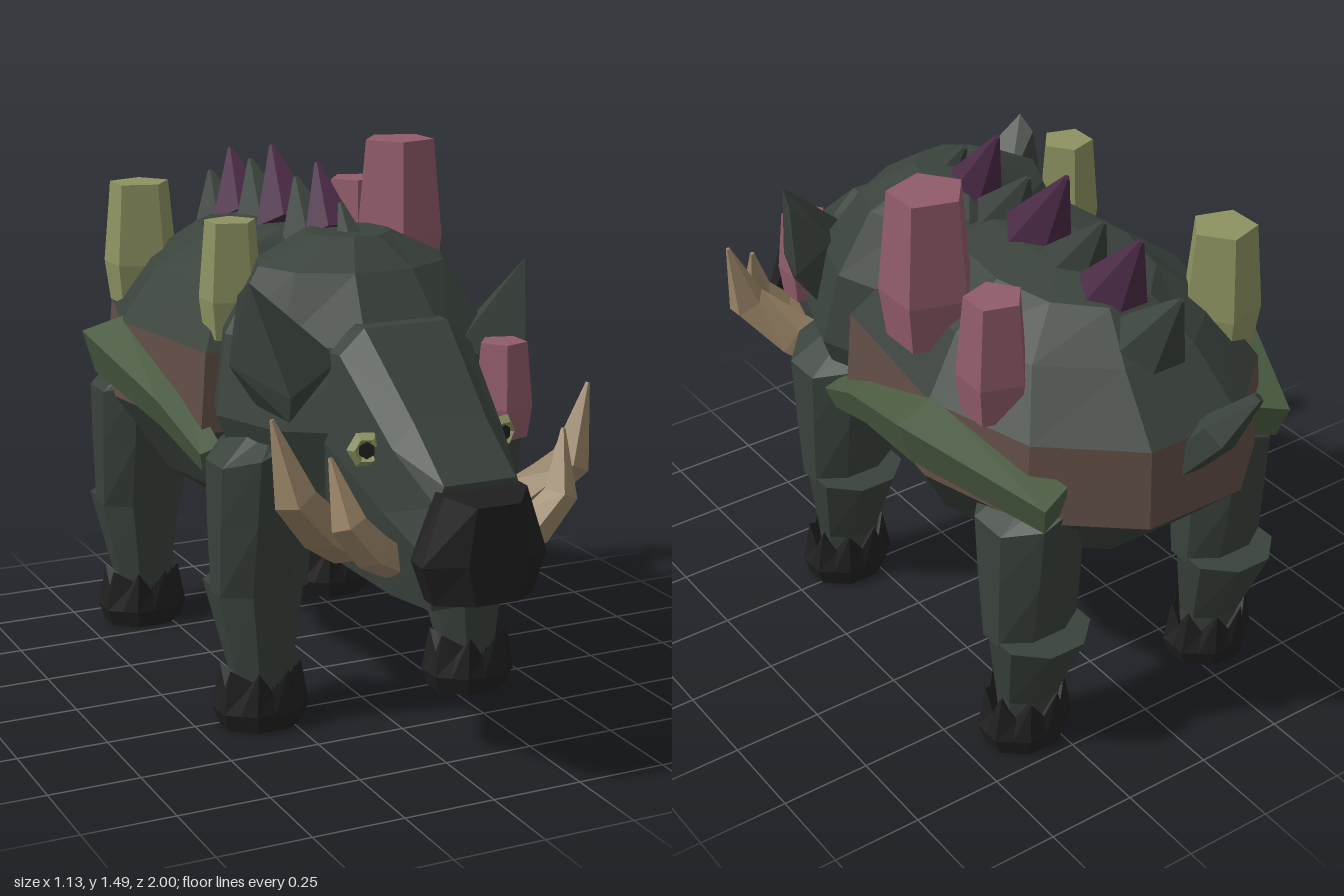
import * as THREE from 'three';
import { ConvexGeometry } from 'three/addons/geometries/ConvexGeometry.js';

const V = (x, y, z) => new THREE.Vector3(x, y, z);

// Skin a list of equal-length rings, cap both ends, and make faces point outward
function loft(rings) {
  const tris = [], n = rings[0].length;
  for (let r = 0; r < rings.length - 1; r++) {
    for (let i = 0; i < n; i++) {
      const j = (i + 1) % n, a = rings[r], b = rings[r + 1];
      tris.push([a[i], b[i], b[j]], [a[i], b[j], a[j]]);
    }
  }
  const a = rings[0], b = rings[rings.length - 1];
  for (let i = 1; i < n - 1; i++) tris.push([a[0], a[i], a[i + 1]], [b[0], b[i + 1], b[i]]);
  let volume = 0;
  for (const [p, q, s] of tris) volume += p.dot(q.clone().cross(s));
  const pos = [];
  for (const [p, q, s] of tris) for (const v of volume < 0 ? [p, s, q] : [p, q, s]) pos.push(v.x, v.y, v.z);
  const g = new THREE.BufferGeometry();
  g.setAttribute('position', new THREE.Float32BufferAttribute(pos, 3));
  g.computeVertexNormals();
  return g;
}

// Horizontal elliptical ring
function ring(y, rx, zc, rz, n = 10, cx = 0, off = 0.5) {
  return Array.from({ length: n }, (_, i) => {
    const a = ((i + off) / n) * Math.PI * 2;
    return V(cx + Math.sin(a) * rx, y, zc + Math.cos(a) * rz);
  });
}

// Body ring with squared front corners
function barrelRing(y, rx, zc, rz) {
  const r = ring(y, rx, zc, rz);
  for (const i of [1, 8]) {
    r[i].x *= 1.06;
    r[i].z = zc + rz * 0.89;
  }
  return r;
}

// Octagon with a midpoint on every side, corners raised by peak
function hoofRing(y, rx, zc, rz, cx, peak = 0) {
  const r = ring(y, rx, zc, rz, 16, cx, 0), center = V(cx, y, zc);
  r.forEach((v, i) => {
    if (i % 2) v.y += peak;
    else v.lerp(center, 0.076);
  });
  return r;
}

// Tapered faceted limb along a path, ref fixes its roll
function limb(path, radii, n, ref) {
  return loft(path.map((p, k) => {
    const t = path[Math.min(k + 1, path.length - 1)].clone().sub(path[Math.max(k - 1, 0)]).normalize();
    const u = t.clone().cross(ref).normalize(), v = t.clone().cross(u);
    return Array.from({ length: n }, (_, i) => {
      const a = ((i + 0.5) / n) * Math.PI * 2;
      return p.clone().addScaledVector(u, Math.cos(a) * radii[k]).addScaledVector(v, Math.sin(a) * radii[k]);
    });
  }));
}

// Head section facing z: [y, half width] pairs from the top down, mirrored
const headRing = ([z, ...pairs]) =>
  [...pairs.map(([y, w]) => V(w, y, z)), ...pairs.map(([y, w]) => V(-w, y, z)).reverse()];

export function createModel() {
  const root = new THREE.Group();
  root.name = 'hornedBoar';
  const mat = (name, color) => {
    const m = new THREE.MeshStandardMaterial({ color });
    m.name = name;
    m.flatShading = true;
    return m;
  };
  const hide = mat('hide', 0x3a423c), black = mat('black', 0x202020), brown = mat('brownBand', 0x614e46);
  const green = mat('vineGreen', 0x4b5c42), pink = mat('pinkCrystal', 0x915c69), olive = mat('oliveCrystal', 0x8d9261);
  const purple = mat('purpleSpine', 0x4b2b46), ivory = mat('ivory', 0x9d8769);
  const add = (name, geo, m) => {
    const mesh = new THREE.Mesh(geo, m);
    mesh.name = name;
    root.add(mesh);
  };

  // Body: belly, painted band and back share their border rings
  const b = [[0.465, 0.2, -0.26, 0.28], [0.57, 0.35, -0.3, 0.43], [0.77, 0.475, -0.39, 0.545],
    [0.99, 0.455, -0.385, 0.535], [1.14, 0.355, -0.36, 0.4], [1.24, 0.21, -0.335, 0.295], [1.27, 0.08, -0.28, 0.18]]
    .map(s => barrelRing(...s));
  add('belly', loft(b.slice(0, 3)), hide);
  add('flankBand', loft(b.slice(2, 4)), brown);
  add('back', loft(b.slice(3)), hide);

  // Shoulder hump
  add('shoulders', loft([[0.49, 0.18, 0.2, 0.18], [0.62, 0.32, 0.22, 0.33], [0.85, 0.41, 0.21, 0.37],
    [1.06, 0.37, 0.18, 0.34], [1.23, 0.27, 0.17, 0.21], [1.305, 0.115, 0.15, 0.12]].map(s => ring(...s))), hide);

  // Head and snout
  add('head', loft([
    [0.35, [1.12, 0.12], [1.05, 0.21], [0.8, 0.26], [0.54, 0.2]],
    [0.5, [1.115, 0.12], [1.05, 0.19], [0.82, 0.225], [0.5, 0.19]],
    [0.74, [0.92, 0.1], [0.86, 0.16], [0.7, 0.185], [0.48, 0.16]],
    [0.9, [0.8, 0.1], [0.75, 0.12], [0.63, 0.155], [0.485, 0.13]]].map(headRing)), hide);
  add('snout', loft([
    [0.88, [0.785, 0.115], [0.62, 0.18], [0.51, 0.14]],
    [0.93, [0.785, 0.115], [0.61, 0.175], [0.51, 0.14]],
    [0.995, [0.765, 0.06], [0.62, 0.08], [0.515, 0.06]]].map(headRing)), black);

  for (const s of [1, -1]) {
    const side = s > 0 ? 'left' : 'right';
    const P = (x, y, z) => V(s * x, y, z);

    // Ears
    add(side + 'Ear', new ConvexGeometry([P(0.17, 1.03, 0.46), P(0.33, 0.89, 0.5), P(0.35, 0.9, 0.33),
      P(0.42, 1.01, 0.32), P(0.3, 1.08, 0.32), P(0.34, 0.96, 0.53), P(0.4, 1.24, 0.41), P(0.41, 1.2, 0.36)]), hide);

    // Eyes
    const eye = new THREE.Group();
    eye.name = side + 'Eye';
    const rim = new THREE.Mesh(new THREE.TorusGeometry(0.032, 0.018, 4, 6), olive);
    rim.name = 'eyeRim';
    const pupil = new THREE.Mesh(new THREE.CylinderGeometry(0.022, 0.022, 0.03, 6), black);
    pupil.name = 'pupil';
    pupil.rotation.x = Math.PI / 2;
    eye.add(rim, pupil);
    eye.position.set(s * 0.193, 0.845, 0.66);
    eye.rotation.y = s * 0.3;
    root.add(eye);

    // Tusks
    const Z = V(0, 0, 1);
    add(side + 'RearTusk', limb([P(0.18, 0.56, 0.53), P(0.29, 0.64, 0.6), P(0.395, 0.75, 0.67), P(0.45, 0.95, 0.66)],
      [0.064, 0.068, 0.058, 0.006], 5, Z), ivory);
    add(side + 'FrontTusk', limb([P(0.15, 0.57, 0.74), P(0.23, 0.62, 0.77), P(0.3, 0.7, 0.78), P(0.33, 0.86, 0.74)],
      [0.05, 0.056, 0.048, 0.006], 5, Z), ivory);

    // Vine over the flank
    add(side + 'Vine', limb([P(0.4, 0.715, 0.15), P(0.425, 0.81, -0.06), P(0.485, 0.925, -0.4), P(0.345, 0.835, -0.78)],
      [0.045, 0.065, 0.09, 0.066], 4, P(0.3, 1, 0)), green);

    // Legs and hooves
    for (const [place, dz] of [['Front', 0], ['Rear', -0.905]]) {
      const name = side + place;
      const R = (y, rx, z, rz, x = 0.315) => ring(y, rx, z + dz, rz, 8, s * x);
      const H = (y, rx, rz, peak) => hoofRing(y, rx, 0.28 + dz, rz, s * 0.32, peak);
      const hip = R(0.79, 0.142, 0.275, 0.15);
      for (const v of hip) v.y -= (Math.abs(v.x) - 0.315) * 0.4;
      add(name + 'UpperLeg', loft([R(0.375, 0.138, 0.265, 0.088), R(0.58, 0.142, 0.27, 0.125),
        hip, R(0.83, 0.07, 0.26, 0.08, 0.27)]), hide);
      add(name + 'LowerLeg', loft([R(0.08, 0.085, 0.27, 0.072), R(0.16, 0.092, 0.27, 0.077),
        R(0.39, 0.138, 0.225, 0.133)]), hide);
      add(name + 'Hoof', loft([H(0, 0.118, 0.098), H(0.05, 0.136, 0.109), H(0.11, 0.112, 0.096, 0.06)]), black);
    }
  }

  // Five-sided crystals: x, z, radius, bottom, top
  const crystal = (name, m, x, z, r, y0, y1, off) => {
    const R = (t, k) => ring(y0 + (y1 - y0) * t, r * k * 1.06, z, r * k, 5, x, off);
    add(name, loft([R(0, 0.88), R(0.33, 1.03), R(1, 0.82)]), m);
  };
  crystal('largePinkCrystal', pink, 0.345, -0.225, 0.12, 1.07, 1.485, 0.75);
  crystal('rearPinkCrystal', pink, 0.355, -0.53, 0.09, 1.0, 1.33, 0.75);
  crystal('cheekPinkCrystal', pink, 0.26, 0.545, 0.075, 0.8, 1.055, 0.75);
  crystal('rearOliveCrystal', olive, -0.31, -0.6, 0.103, 1.0, 1.35, 0.25);
  crystal('frontOliveCrystal', olive, -0.295, 0.045, 0.083, 1.02, 1.335, 0.25);

  // Spines along the back: base y and z, tip y and z, radius
  [[1.27, 0.18, 1.37, 0.11, 0.045], [1.28, 0.055, 1.46, -0.04, 0.08], [1.24, -0.08, 1.4, -0.18, 0.09],
    [1.26, -0.23, 1.47, -0.345, 0.1], [1.23, -0.39, 1.41, -0.5, 0.098], [1.23, -0.55, 1.425, -0.65, 0.1],
    [1.17, -0.705, 1.335, -0.81, 0.1]].forEach(([y, z, ty, tz, r], i) => {
    add('backSpine' + (i + 1), limb([V(0, y, z), V(0, ty, tz)], [r, 0.008], 6, V(1, 0, 0)), i % 2 ? purple : hide);
  });

  // Tail
  add('tail', limb([V(0.02, 0.9, -0.86), V(-0.04, 1.0, -0.93), V(-0.11, 1.11, -0.99)], [0.05, 0.055, 0.015], 5, V(1, 0, 0)), hide);
  return root;
}
